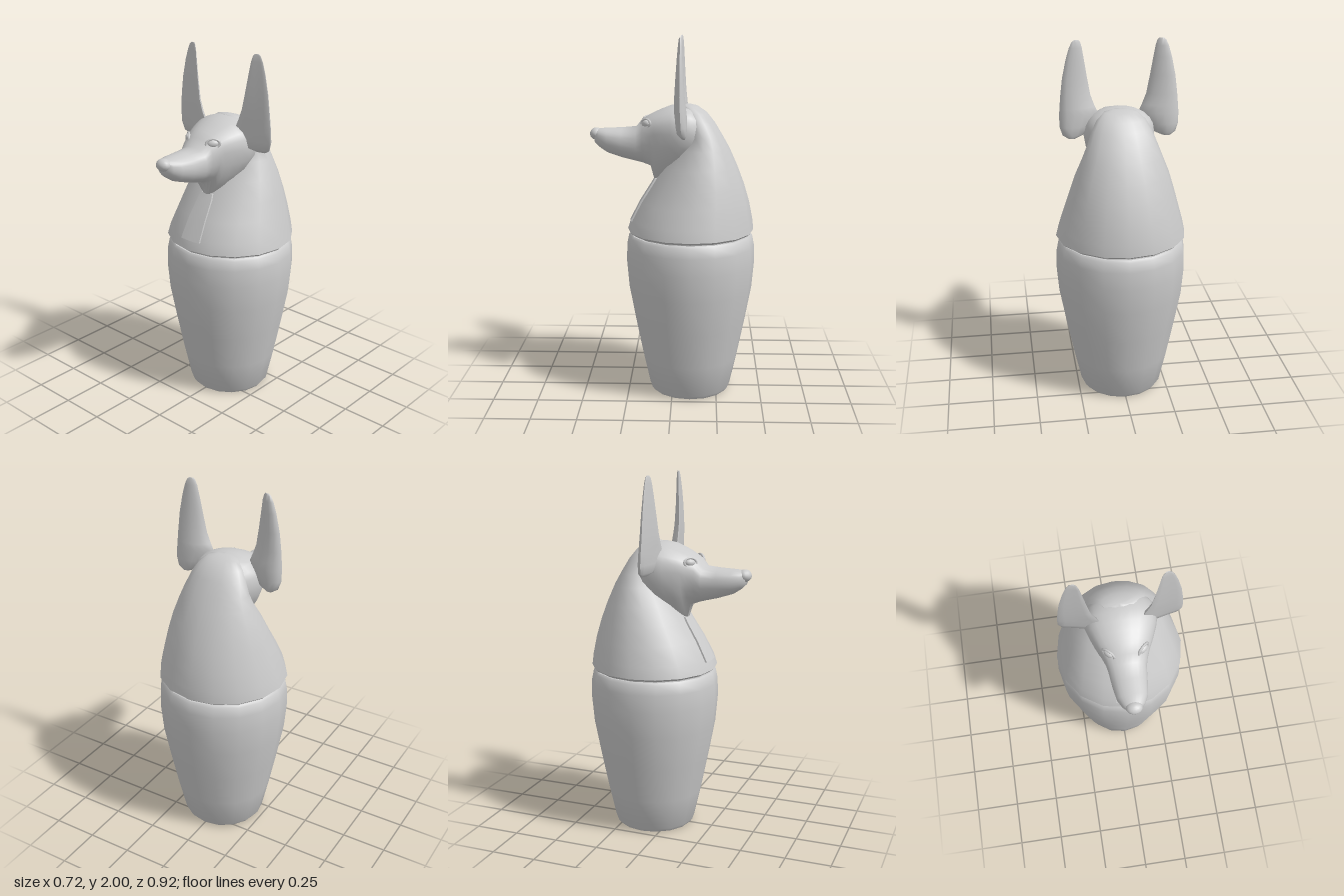
import * as THREE from 'three';
import { toCreasedNormals } from 'three/addons/utils/BufferGeometryUtils.js';

const material = new THREE.MeshStandardMaterial({ color: 0xcccccc });

// Skin a closed solid over rings of points, capped at both ends.
function loft(rings, crease = 0.8) {
  const n = rings[0].length, pts = rings.flat(), index = [];
  for (let r = 0; r < rings.length - 1; r++) {
    for (let i = 0; i < n; i++) {
      const j = (i + 1) % n, a = r * n, b = a + n;
      index.push(a + i, a + j, b + j, a + i, b + j, b + i);
    }
  }
  const last = (rings.length - 1) * n;
  for (const [start, flip] of [[0, true], [last, false]]) {
    const centre = new THREE.Vector3();
    for (let i = 0; i < n; i++) centre.addScaledVector(pts[start + i], 1 / n);
    const c = pts.push(centre) - 1;
    for (let i = 0; i < n; i++) {
      const a = start + i, b = start + (i + 1) % n;
      index.push(...(flip ? [c, b, a] : [c, a, b]));
    }
  }
  // Signed volume tells whether the faces point outwards.
  let volume = 0;
  const cross = new THREE.Vector3();
  for (let i = 0; i < index.length; i += 3) {
    volume += pts[index[i]].dot(cross.crossVectors(pts[index[i + 1]], pts[index[i + 2]]));
  }
  if (volume < 0) index.reverse();
  const g = new THREE.BufferGeometry().setFromPoints(pts);
  g.setIndex(index);
  g.computeVertexNormals();
  return toCreasedNormals(g, crease);
}

function ring(n, fn) {
  return Array.from({ length: n }, (_, i) => {
    const a = (i / n) * Math.PI * 2;
    return new THREE.Vector3(...fn(Math.cos(a), Math.sin(a)));
  });
}

function add(parent, name, geometry) {
  const mesh = new THREE.Mesh(geometry, material);
  mesh.name = name;
  parent.add(mesh);
  return mesh;
}

function ellipsoid(parent, name, pos, scale) {
  const mesh = add(parent, name, new THREE.SphereGeometry(1, 14, 10));
  mesh.position.set(...pos);
  mesh.scale.set(...scale);
  return mesh;
}

export function createModel() {
  const model = new THREE.Group();
  model.name = 'jackalJar';

  // Jar body: height, radius
  const body = [[0, 0.215], [0.02, 0.23], [0.2, 0.27], [0.4, 0.31], [0.6, 0.347],
    [0.75, 0.36], [0.85, 0.357], [0.905, 0.346], [0.917, 0.335]];
  add(model, 'jarBody', loft(body.map(([y, r]) =>
    ring(16, (c, s) => [r * c, y, -0.1 + r * s]))));
  const neck = add(model, 'jarNeck', new THREE.CylinderGeometry(0.325, 0.325, 0.04, 16));
  neck.position.set(0, 0.918, -0.1);

  // Lid with headcloth: height, half width, front z, back z
  const cloth = [[0.926, 0.345, 0.235, -0.437], [0.938, 0.358, 0.252, -0.452],
    [1.0, 0.344, 0.232, -0.445], [1.1, 0.315, 0.178, -0.425], [1.2, 0.286, 0.112, -0.395],
    [1.3, 0.255, 0.05, -0.357], [1.4, 0.215, -0.02, -0.312], [1.47, 0.187, -0.06, -0.272],
    [1.54, 0.16, -0.05, -0.23], [1.59, 0.13, -0.05, -0.19], [1.625, 0.09, -0.05, -0.14],
    [1.636, 0.04, -0.06, -0.1]];
  add(model, 'headcloth', loft(cloth.map(([y, w, f, b]) => {
    const mid = (f + b) / 2;
    return ring(16, (c, s) => [w * c, y, mid + (f - mid) * s]);
  })));

  // Slim panel hanging below the chin: height, half width, front z
  const panel = [[0.99, 0.066, 0.237], [1.1, 0.058, 0.181], [1.2, 0.048, 0.118], [1.23, 0.04, 0.1]];
  add(model, 'chestPanel', loft(panel.map(([y, w, z]) => [
    [-w, z - 0.003], [0, z + 0.002], [w, z - 0.003], [w, z - 0.04], [-w, z - 0.04],
  ].map(([x, d]) => new THREE.Vector3(x, y, d)))));

  // Head and muzzle: z, half width, top, height of widest line, bottom, taper of lower half
  const head = [[-0.2, 0.11, 1.56, 1.47, 1.36, 1], [-0.15, 0.155, 1.61, 1.48, 1.32, 1.2],
    [-0.1, 0.18, 1.633, 1.49, 1.28, 1.5], [-0.04, 0.192, 1.637, 1.49, 1.24, 1.7],
    [0.01, 0.178, 1.63, 1.49, 1.21, 1.8], [0.06, 0.158, 1.611, 1.49, 1.2, 1.8],
    [0.1, 0.14, 1.593, 1.485, 1.21, 1.8], [0.122, 0.128, 1.582, 1.475, 1.295, 1.2],
    [0.165, 0.11, 1.557, 1.46, 1.312, 1], [0.2, 0.1, 1.514, 1.43, 1.322, 0.9],
    [0.28, 0.092, 1.507, 1.43, 1.343, 0.85], [0.36, 0.08, 1.504, 1.44, 1.37, 0.85],
    [0.405, 0.058, 1.502, 1.45, 1.4, 0.9], [0.43, 0.035, 1.495, 1.46, 1.425, 1]];
  add(model, 'head', loft(head.map(([z, w, top, mid, bottom, taper]) =>
    ring(24, (c, s) => [
      w * Math.sign(c) * Math.abs(c) ** (s < 0 ? taper : 1),
      s > 0 ? mid + (top - mid) * s ** 0.75 : mid + (mid - bottom) * s,
      z,
    ])), 1.0));
  ellipsoid(model, 'nose', [0, 1.472, 0.42], [0.044, 0.034, 0.037]);

  // Ears: height, outer x, inner x, middle z, thickness
  const ear = [[1.477, 0.275, 0.23, -0.062, 0.012], [1.495, 0.305, 0.18, -0.055, 0.03],
    [1.54, 0.32, 0.145, -0.05, 0.038], [1.6, 0.321, 0.11, -0.047, 0.04],
    [1.64, 0.318, 0.128, -0.045, 0.037], [1.7, 0.313, 0.15, -0.043, 0.032],
    [1.8, 0.301, 0.168, -0.043, 0.025], [1.9, 0.28, 0.184, -0.044, 0.018],
    [1.96, 0.262, 0.194, -0.045, 0.013], [1.99, 0.248, 0.203, -0.045, 0.009],
    [2.0, 0.235, 0.212, -0.045, 0.004]];
  for (const [side, m] of [['left', 1], ['right', -1]]) {
    add(model, side + 'Ear', loft(ear.map(([y, xo, xi, z, t]) => {
      const mid = (xo + xi) / 2, w = (xo - xi) / 2;
      // The back bulges, the front is hollowed, the inner edge turns forward.
      return ring(14, (c, s) => [m * (mid + w * c), y,
        z + t * s * (s > 0 ? 0.3 : 1) + t * 0.9 * ((1 - c) / 2) ** 2]);
    }), 1.0));

    // Eyes with raised rims
    const eye = new THREE.Group();
    eye.name = side + 'Eye';
    eye.position.set(m * 0.089, 1.538, 0.143);
    eye.rotation.set(-0.15, m * 0.75, m * 0.1, 'YXZ');
    ellipsoid(eye, 'eyeball', [0, 0, 0], [0.03, 0.02, 0.016]);
    const rim = add(eye, 'eyelids', new THREE.TorusGeometry(0.033, 0.007, 6, 16));
    rim.scale.set(1.1, 0.75, 1);
    model.add(eye);
  }
  return model;
}
